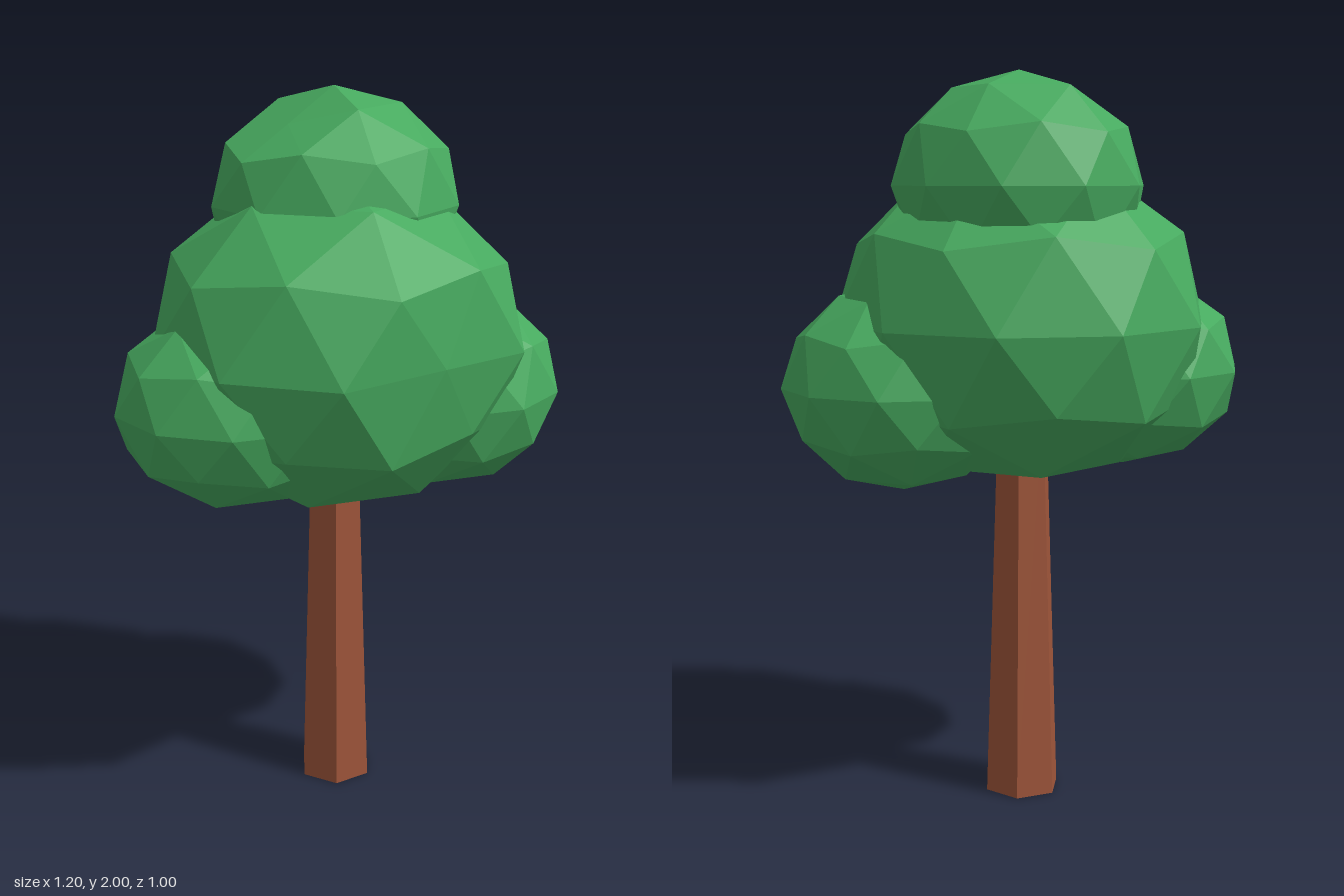
import * as THREE from 'three';

const leafGreen = new THREE.MeshStandardMaterial({ color: 0x47aa5f });
leafGreen.name = 'leafGreen';
const barkBrown = new THREE.MeshStandardMaterial({ color: 0x9e553a });
barkBrown.name = 'barkBrown';

// Faceted leaf clump: a pole-up icosphere, stretched, with flattened patches.
// Each cut is [nx, ny, nz, distance] relative to the clump's centre.
function leafClump(name, centre, radii, cuts = []) {
  const geometry = new THREE.IcosahedronGeometry(1, 1);
  geometry.rotateZ(-Math.atan(2 / (1 + Math.sqrt(5))));
  geometry.scale(...radii);
  const pos = geometry.attributes.position;
  const p = new THREE.Vector3();
  const n = new THREE.Vector3();
  for (let i = 0; i < pos.count; i++) {
    p.fromBufferAttribute(pos, i);
    for (const [x, y, z, distance] of cuts) {
      n.set(x, y, z).normalize();
      const d = p.dot(n);
      if (d > distance) p.addScaledVector(n, distance - d);
    }
    pos.setXYZ(i, p.x, p.y, p.z);
  }
  geometry.computeVertexNormals(); // unshared corners give flat facets
  const mesh = new THREE.Mesh(geometry, leafGreen);
  mesh.name = name;
  mesh.position.set(...centre);
  return mesh;
}

export function createModel() {
  const tree = new THREE.Group();
  tree.name = 'tree';

  // Tapered six-sided trunk
  const trunkGeometry = new THREE.CylinderGeometry(0.072, 0.108, 1.1, 6).toNonIndexed();
  trunkGeometry.computeVertexNormals();
  const trunk = new THREE.Mesh(trunkGeometry, barkBrown);
  trunk.name = 'trunk';
  trunk.position.set(-0.022, 0.55, -0.025);
  tree.add(trunk);

  // Crown: large middle clump, top clump and two side clumps
  tree.add(
    leafClump('middleLeaves', [-0.018, 1.335, 0], [0.515, 0.46, 0.502],
      [[0, -1, 0, 0.425], [0.6, -0.2, 0.77, 0.43]]),
    leafClump('topLeaves', [-0.02, 1.7, -0.083], [0.342, 0.3, 0.33],
      [[-0.444, 0.858, 0.257, 0.258]]),
    leafClump('rightLeaves', [-0.29, 1.195, 0.13], [0.328, 0.275, 0.315]),
    leafClump('leftLeaves', [0.29, 1.165, -0.135], [0.328, 0.285, 0.315]),
  );
  return tree;
}
